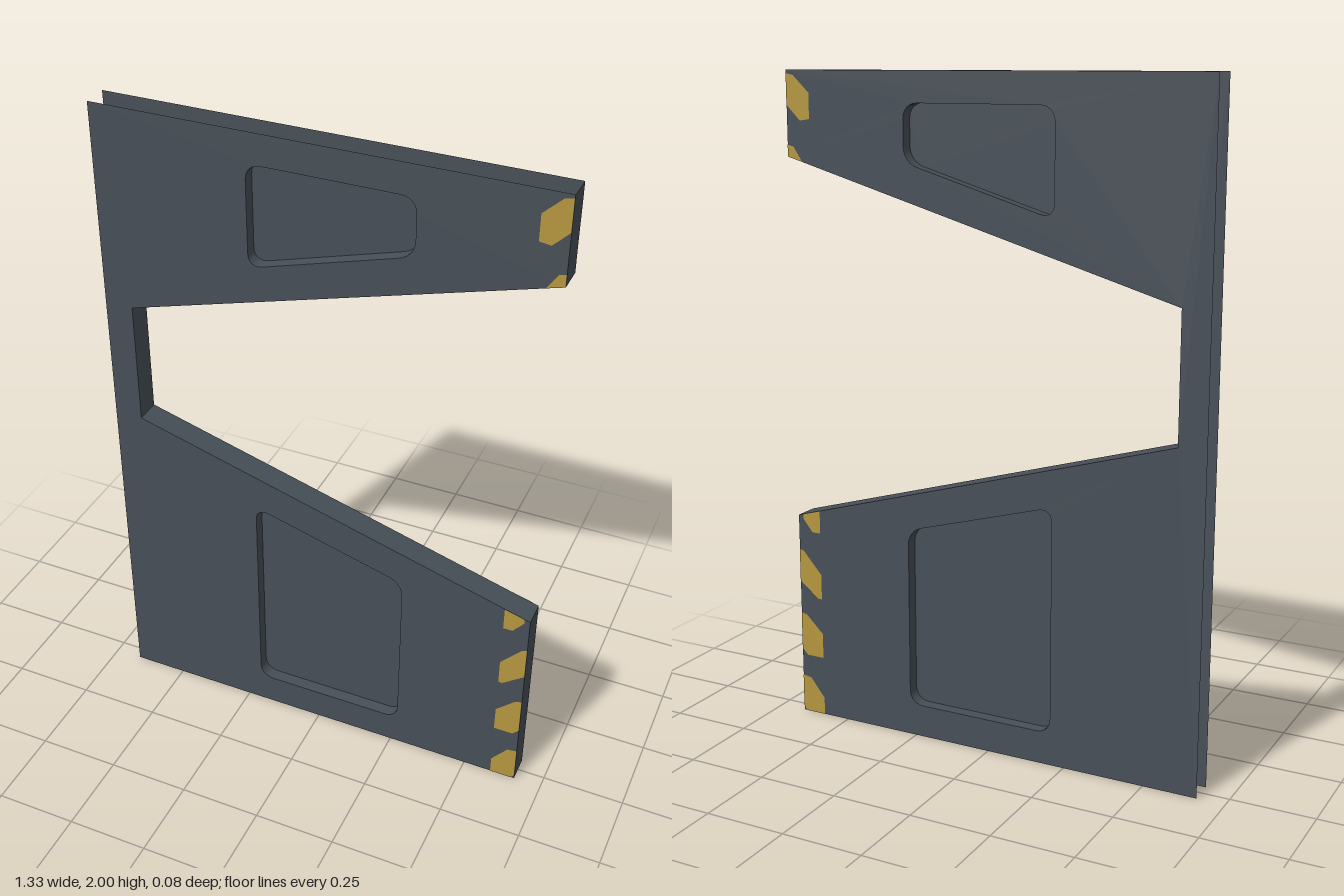
import * as THREE from 'three';
import { toCreasedNormals } from 'three/addons/utils/BufferGeometryUtils.js';

const HALF = 0.039; // half of the panel thickness
const FLOOR = 0.001; // pocket floor height above the middle plane

const steel = new THREE.MeshStandardMaterial({ color: 0x474f57, side: THREE.DoubleSide });
steel.name = 'dark steel';
const yellow = new THREE.MeshStandardMaterial({ color: 0xb5973f, side: THREE.DoubleSide });
yellow.name = 'hazard yellow';

const toVectors = (pts) => pts.map(([x, y]) => new THREE.Vector2(x, y));

// Counter-clockwise polygon with rounded corners, as a list of points
function roundedPoints(pts, r) {
  const path = new THREE.Path();
  const v = toVectors(pts);
  v.forEach((p, i) => {
    const toward = (q) => q.clone().sub(p).setLength(r).add(p);
    const a = toward(v[(i + v.length - 1) % v.length]);
    const b = toward(v[(i + 1) % v.length]);
    if (i === 0) path.moveTo(a.x, a.y);
    else path.lineTo(a.x, a.y);
    const k = 0.6; // cubic handles for a near-circular corner
    const c1 = a.clone().lerp(p, k), c2 = b.clone().lerp(p, k);
    path.bezierCurveTo(c1.x, c1.y, c2.x, c2.y, b.x, b.y);
  });
  path.closePath();
  return path.getPoints(6);
}

// Strip of wall along a line of points, between two depths
function wallGeometry(points, z0, z1) {
  const pos = [];
  for (let i = 0; i < points.length - 1; i++) {
    const p = points[i], q = points[i + 1];
    if (p.distanceTo(q) < 1e-6) continue;
    pos.push(p.x, p.y, z0, q.x, q.y, z0, q.x, q.y, z1);
    pos.push(p.x, p.y, z0, q.x, q.y, z1, p.x, p.y, z1);
  }
  const g = new THREE.BufferGeometry();
  g.setAttribute('position', new THREE.Float32BufferAttribute(pos, 3));
  g.computeVertexNormals();
  return toCreasedNormals(g, 0.5);
}

function addMesh(parent, name, geometry, material, z = 0) {
  const mesh = new THREE.Mesh(geometry, material);
  mesh.name = name;
  mesh.position.z = z;
  parent.add(mesh);
}

export function createModel() {
  const model = new THREE.Group();
  model.name = 'notchedDoorPanel';

  // Edge running up the free side and around the notch
  const edge = [[0.665, 0], [0.665, 0.65], [-0.58, 1.01], [-0.58, 1.39], [0.665, 1.75], [0.665, 2]];
  const outline = toVectors([[-0.665, 0], ...edge, [-0.665, 2]]);

  const pockets = {
    upperPocket: roundedPoints([[-0.205, 1.605], [0.27, 1.745], [0.27, 1.91], [-0.205, 1.91]], 0.045),
    lowerPocket: roundedPoints([[-0.205, 0.1], [0.27, 0.1], [0.27, 0.655], [-0.205, 0.79]], 0.045),
  };

  // Slanted warning stripes along the free side
  const L = 0.587, R = 0.665;
  const stripes = [
    [[L, 0], [0.655, 0], [R, 0.015], [R, 0.12], [0.635, 0.115], [L, 0.055]],
    [[L, 0.19], [0.645, 0.19], [R, 0.21], [R, 0.33], [0.645, 0.325], [L, 0.27]],
    [[L, 0.385], [0.6, 0.385], [R, 0.435], [R, 0.54], [0.65, 0.535], [L, 0.465]],
    [[L, 0.6], [0.615, 0.6], [0.648, 0.64], [0.648, 0.655], [L, 0.672]],
    [[0.615, 1.736], [R, 1.75], [R, 1.785], [0.645, 1.78]],
    [[L, 1.86], [0.62, 1.855], [R, 1.9], [R, 1.99], [0.64, 1.985], [L, 1.935]],
  ];

  // Only the free side and notch are closed; top, bottom and hinge side stay open
  addMesh(model, 'notchEdge', wallGeometry(toVectors(edge), -HALF, HALF), steel);

  // Front half, mirrored for the back
  for (const [name, s] of [['frontSide', 1], ['backSide', -1]]) {
    const half = new THREE.Group();
    half.name = name;
    half.scale.z = s;
    model.add(half);

    const sheet = new THREE.Shape(outline);
    for (const [pocket, pts] of Object.entries(pockets)) {
      sheet.holes.push(new THREE.Path(pts));
      const inward = pts.slice().reverse();
      addMesh(half, pocket + 'Wall', wallGeometry(inward, FLOOR, HALF), steel);
      addMesh(half, pocket + 'Floor', new THREE.ShapeGeometry(new THREE.Shape(pts)), steel, FLOOR);
    }
    addMesh(half, 'sheet', new THREE.ShapeGeometry(sheet), steel, HALF);

    const stripeShapes = stripes.map((pts) => new THREE.Shape(toVectors(pts)));
    addMesh(half, 'warningStripes', new THREE.ShapeGeometry(stripeShapes), yellow, HALF + 0.001);
  }
  return model;
}
